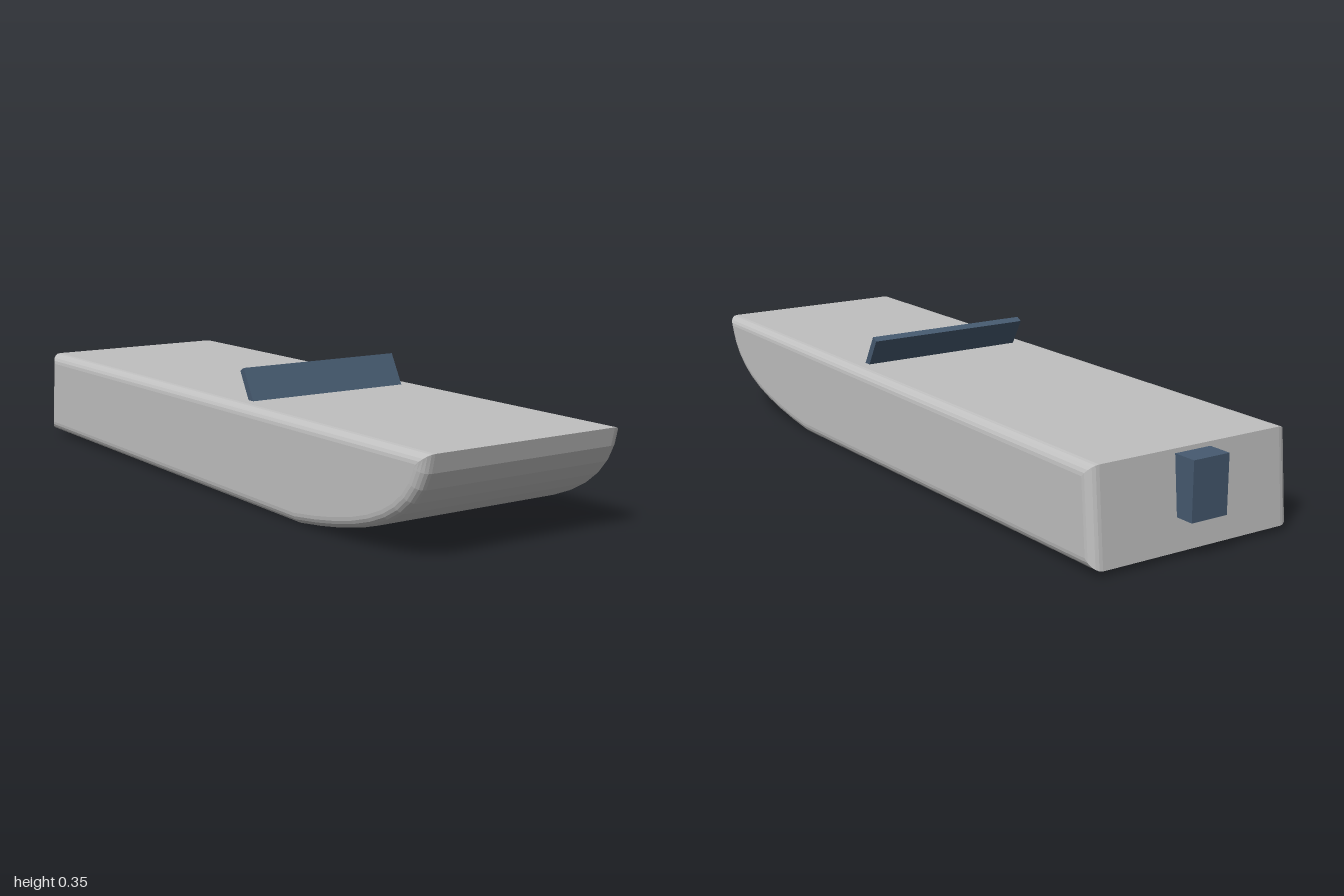
import * as THREE from 'three';

const hullGrey = new THREE.MeshStandardMaterial({ color: 0xc0c0c0 });
hullGrey.name = 'hullGrey';
const slateBlue = new THREE.MeshStandardMaterial({ color: 0x465a70 });
slateBlue.name = 'slateBlue';

const WIDTH = 0.62;
const BEVEL = 0.03;

function addMesh(group, name, geometry, material) {
  const mesh = new THREE.Mesh(geometry, material);
  mesh.name = name;
  group.add(mesh);
  return mesh;
}

// Side profile (length, height) swept across the beam with rounded edges
function hullGeometry() {
  const profile = new THREE.Shape();
  profile.moveTo(-0.955, 0.014);
  profile.lineTo(0.48, 0);
  profile.bezierCurveTo(0.8, 0.035, 0.98, 0.1, 1, 0.27);
  profile.lineTo(-0.932, 0.266);
  profile.closePath();
  const geometry = new THREE.ExtrudeGeometry(profile, {
    depth: WIDTH - 2 * BEVEL,
    curveSegments: 10,
    bevelEnabled: true,
    bevelSize: BEVEL,
    bevelThickness: BEVEL,
    bevelOffset: -BEVEL,
    bevelSegments: 5,
  });
  geometry.translate(0, 0, -(WIDTH / 2 - BEVEL));
  geometry.rotateY(-Math.PI / 2);
  return geometry;
}

export function createModel() {
  const boat = new THREE.Group();
  boat.name = 'boat';

  addMesh(boat, 'hull', hullGeometry(), hullGrey);

  // Raked windshield, leaning toward the stern
  const windshield = addMesh(boat, 'windshield', new THREE.BoxGeometry(0.5, 0.1, 0.02), slateBlue);
  windshield.position.set(0, 0.304, 0.165);
  windshield.rotation.x = -0.5;

  // Outboard motor on the transom
  const motor = addMesh(boat, 'motor', new THREE.BoxGeometry(0.11, 0.155, 0.12), slateBlue);
  motor.position.set(0, 0.177, -0.94);

  return boat;
}
